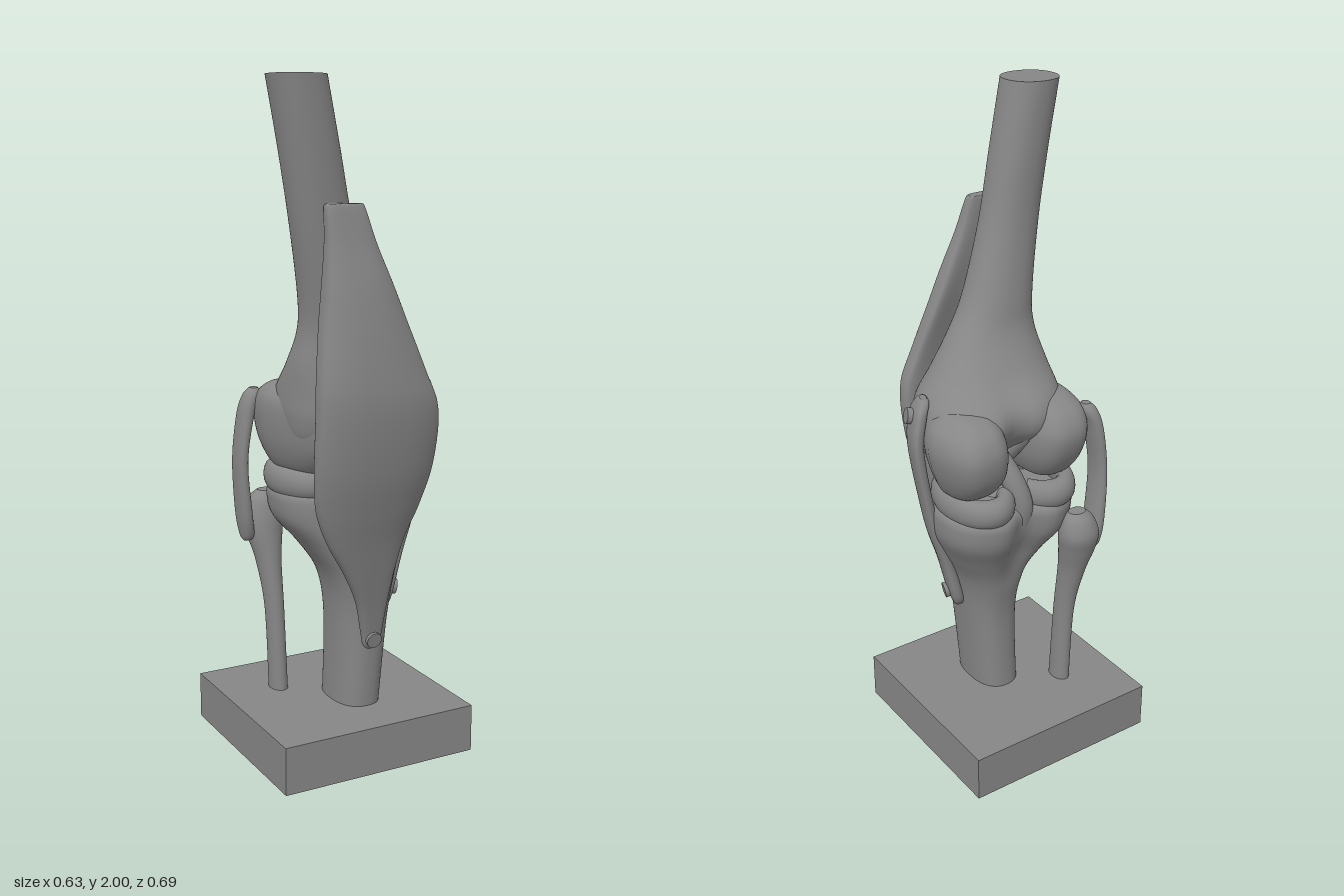
import * as THREE from 'three';

const material = new THREE.MeshStandardMaterial({ color: 0x868686, side: THREE.DoubleSide });
const SIDES = 56;
const STEPS = 7;

function spline(a, b, c, d, t) {
  return 0.5 * (2 * b + (c - a) * t + (2 * a - 5 * b + 4 * c - d) * t * t + (3 * b - a - 3 * c + d) * t ** 3);
}

// Insert smooth in-between sections; each section is [y, x0, x1, z0, z1]
function refine(sections) {
  const out = [];
  const at = (i) => sections[Math.min(Math.max(i, 0), sections.length - 1)];
  for (let i = 0; i < sections.length - 1; i++) {
    for (let s = 0; s < STEPS; s++) {
      out.push(at(i).map((v, k) => spline(at(i - 1)[k], v, at(i + 1)[k], at(i + 2)[k], s / STEPS)));
    }
  }
  out.push(at(sections.length - 1));
  return out;
}

// Skin superellipse sections from bottom to top; warp(p, u, v) may bend each point
function loft(name, sections, power = 2, warp = () => {}) {
  const rings = refine(sections);
  const pos = [], idx = [];
  const p = new THREE.Vector3();
  const curve = (c) => Math.sign(c) * Math.abs(c) ** (2 / power);
  for (const [y, x0, x1, z0, z1] of rings) {
    for (let j = 0; j < SIDES; j++) {
      const a = (j / SIDES) * Math.PI * 2;
      const u = curve(Math.cos(a)), v = curve(Math.sin(a));
      p.set((x0 + x1) / 2 + (u * (x1 - x0)) / 2, y, (z0 + z1) / 2 + (v * (z1 - z0)) / 2);
      warp(p, u, v);
      pos.push(p.x, p.y, p.z);
    }
  }
  for (let i = 0; i < rings.length - 1; i++) {
    for (let j = 0; j < SIDES; j++) {
      const a = i * SIDES + j, b = i * SIDES + ((j + 1) % SIDES);
      idx.push(a, a + SIDES, b, b, a + SIDES, b + SIDES);
    }
  }
  // Separate end caps keep a crisp rim
  for (const top of [false, true]) {
    const start = top ? (rings.length - 1) * SIDES : 0;
    const first = pos.length / 3;
    const mid = [0, 0, 0];
    for (let j = 0; j < SIDES; j++) {
      for (let k = 0; k < 3; k++) {
        const value = pos[(start + j) * 3 + k];
        pos.push(value);
        mid[k] += value / SIDES;
      }
    }
    pos.push(...mid);
    for (let j = 0; j < SIDES; j++) {
      const a = first + j, b = first + ((j + 1) % SIDES);
      idx.push(first + SIDES, top ? b : a, top ? a : b);
    }
  }
  const geo = new THREE.BufferGeometry();
  geo.setAttribute('position', new THREE.Float32BufferAttribute(pos, 3));
  geo.setIndex(idx);
  geo.computeVertexNormals();
  return mesh(name, geo);
}

function mesh(name, geo) {
  const m = new THREE.Mesh(geo, material);
  m.name = name;
  return m;
}

function tube(name, points, radius) {
  const path = new THREE.CatmullRomCurve3(points.map((q) => new THREE.Vector3(...q)));
  return mesh(name, new THREE.TubeGeometry(path, 20, radius, 16));
}

// Short pin pointing along a direction
function pin(name, position, direction) {
  const m = mesh(name, new THREE.CylinderGeometry(0.024, 0.024, 0.035, 24));
  m.position.set(...position);
  m.quaternion.setFromUnitVectors(new THREE.Vector3(0, 1, 0), new THREE.Vector3(...direction).normalize());
  return m;
}

// C-shaped cushion, open toward the middle of the joint
function meniscus(name, x, side, rx) {
  const geo = new THREE.TorusGeometry(1, 0.3, 16, 48, Math.PI * 1.6);
  geo.rotateZ(-Math.PI * 0.8);
  geo.rotateX(-Math.PI / 2);
  if (side < 0) geo.rotateY(Math.PI);
  geo.scale(rx, 0.15, 0.122);
  geo.translate(x, 0.842, -0.042);
  return mesh(name, geo);
}

export function createModel() {
  const model = new THREE.Group();

  // Display base
  const base = mesh('base', new THREE.BoxGeometry(0.63, 0.145, 0.625));
  base.position.set(0, 0.0725, -0.0325);
  model.add(base);

  // Thigh bone: leaning shaft flaring out, grooved in front and notched behind
  model.add(loft('thighBone', [
    [0.93, -0.12, 0.16, -0.04, 0.15], [0.98, -0.18, 0.21, -0.09, 0.2],
    [1.05, -0.2, 0.24, -0.155, 0.237], [1.12, -0.2, 0.23, -0.148, 0.237],
    [1.2, -0.192, 0.168, -0.058, 0.215], [1.3, -0.175, 0.095, 0.01, 0.2],
    [1.4, -0.18, 0.035, 0.035, 0.205], [1.6, -0.215, -0.035, 0.065, 0.215],
    [1.8, -0.25, -0.08, 0.071, 0.226], [2, -0.288, -0.123, 0.072, 0.233],
  ], 2.2, (p, u, v) => {
    const low = 1 - THREE.MathUtils.smoothstep(p.y, 1.05, 1.25);
    p.z -= 0.03 * low * Math.max(0, v) * Math.exp(-(((p.x + 0.03) / 0.05) ** 2));
    p.z += 0.035 * low * Math.max(0, -v) * Math.exp(-(((p.x - 0.035) / 0.05) ** 2));
  }));

  // Rounded knuckles, their front ends drawn toward the middle
  const pull = (amount, z) => (p) => { p.x += amount * Math.max(0, p.z - z); };
  model.add(loft('innerKnuckle', [
    [0.872, 0.13, 0.18, -0.06, 0.05], [0.885, 0.09, 0.225, -0.13, 0.11],
    [0.95, 0.065, 0.258, -0.19, 0.185], [1.03, 0.06, 0.275, -0.208, 0.22],
    [1.09, 0.07, 0.26, -0.185, 0.215], [1.125, 0.095, 0.22, -0.135, 0.16],
    [1.135, 0.13, 0.19, -0.09, 0.08],
  ], 2.8, pull(-0.42, -0.03)));
  model.add(loft('outerKnuckle', [
    [0.872, -0.14, -0.09, -0.06, 0.05], [0.885, -0.18, -0.05, -0.13, 0.11],
    [0.95, -0.21, -0.02, -0.185, 0.185], [1.03, -0.222, -0.015, -0.208, 0.215],
    [1.09, -0.217, -0.03, -0.185, 0.2], [1.125, -0.19, -0.05, -0.135, 0.14],
    [1.135, -0.16, -0.09, -0.09, 0.08],
  ], 2.8, pull(0.25, -0.03)));

  // Shin bone with a flared plateau notched at the back
  model.add(loft('shinBone', [
    [0.14, -0.037, 0.107, -0.09, 0.13], [0.4, -0.035, 0.128, -0.09, 0.145],
    [0.54, -0.055, 0.15, -0.115, 0.163], [0.64, -0.115, 0.195, -0.155, 0.157],
    [0.72, -0.18, 0.233, -0.198, 0.142], [0.78, -0.195, 0.24, -0.21, 0.14],
    [0.81, -0.19, 0.233, -0.203, 0.132], [0.825, -0.17, 0.21, -0.18, 0.11],
  ], 2.4, (p, u, v) => {
    const high = THREE.MathUtils.smoothstep(p.y, 0.5, 0.75);
    p.z += 0.055 * high * Math.max(0, -v) * Math.exp(-(((p.x - 0.02) / 0.055) ** 2));
  }));
  model.add(loft('shinRidge', [
    [0.79, -0.04, 0.09, -0.09, 0.06], [0.83, -0.03, 0.075, -0.075, 0.04],
    [0.87, -0.005, 0.045, -0.045, 0.01],
  ]));

  // Calf bone with a swollen head
  model.add(loft('calfBone', [
    [0.14, -0.165, -0.11, -0.175, -0.095], [0.4, -0.172, -0.115, -0.182, -0.107],
    [0.55, -0.19, -0.113, -0.212, -0.12], [0.64, -0.213, -0.1, -0.24, -0.13],
    [0.7, -0.217, -0.09, -0.255, -0.137], [0.75, -0.2, -0.1, -0.24, -0.15],
    [0.775, -0.175, -0.12, -0.215, -0.17],
  ]));

  // Cushions and crossing ligaments inside the joint
  model.add(meniscus('innerMeniscus', 0.128, 1, 0.083));
  model.add(meniscus('outerMeniscus', -0.09, -1, 0.086));
  model.add(tube('backCrossLigament', [[0.01, 0.73, -0.115], [0.015, 0.82, -0.135], [0.035, 0.9, -0.115], [0.07, 1, -0.05]], 0.034));
  model.add(tube('frontCrossLigament', [[0.02, 0.82, 0.07], [0, 0.91, 0], [-0.03, 1.03, -0.1]], 0.026));

  // Kneecap and its tendon, one bowed plate
  model.add(loft('kneecapTendon', [
    [0.345, 0.012, 0.04, 0.155, 0.17], [0.36, 0, 0.053, 0.15, 0.178],
    [0.4, -0.008, 0.058, 0.15, 0.185], [0.5, -0.035, 0.065, 0.165, 0.208],
    [0.6, -0.085, 0.077, 0.185, 0.235], [0.7, -0.147, 0.1, 0.21, 0.262],
    [0.8, -0.188, 0.14, 0.225, 0.292], [0.92, -0.206, 0.168, 0.25, 0.323],
    [1.08, -0.209, 0.171, 0.262, 0.346], [1.2, -0.205, 0.127, 0.26, 0.343],
    [1.4, -0.18, 0.05, 0.232, 0.315], [1.55, -0.165, -0.012, 0.218, 0.278],
    [1.645, -0.163, -0.042, 0.212, 0.257], [1.66, -0.155, -0.05, 0.215, 0.25],
  ], 3.6, (p, u) => {
    p.z -= 0.028 * u * u * THREE.MathUtils.smoothstep(p.y, 0.5, 0.9) * (1 - THREE.MathUtils.smoothstep(p.y, 1.3, 1.65));
  }));
  model.add(pin('tendonPin', [0.025, 0.378, 0.172], [0, -0.2, 1]));

  // Side ligaments: flat straps, the inner one turned to follow the bone
  model.add(loft('innerSideLigament', [
    [0.425, 0.115, 0.14, 0.03, 0.06], [0.44, 0.11, 0.15, 0.01, 0.085],
    [0.48, 0.118, 0.164, -0.005, 0.097], [0.6, 0.15, 0.195, 0, 0.1],
    [0.7, 0.18, 0.227, 0, 0.102], [0.8, 0.21, 0.249, 0, 0.104],
    [1, 0.24, 0.282, 0.003, 0.11], [1.1, 0.226, 0.272, 0.01, 0.115],
    [1.14, 0.214, 0.253, 0.025, 0.1], [1.152, 0.22, 0.24, 0.045, 0.08],
  ], 2.6, (p) => { p.x -= 0.3 * (p.z - 0.053); }));
  model.add(pin('upperLigamentPin', [0.264, 1.1, 0.068], [1, 0.2, 0.3]));
  model.add(pin('lowerLigamentPin', [0.161, 0.483, 0.046], [1, -0.2, 0.3]));
  model.add(loft('outerSideLigament', [
    [0.625, -0.23, -0.21, -0.19, -0.165], [0.645, -0.24, -0.2, -0.207, -0.145],
    [0.72, -0.253, -0.21, -0.212, -0.13], [0.88, -0.262, -0.225, -0.205, -0.125],
    [1.02, -0.25, -0.205, -0.198, -0.12], [1.08, -0.235, -0.185, -0.185, -0.12],
    [1.105, -0.215, -0.19, -0.165, -0.135],
  ], 2.2));

  return model;
}
